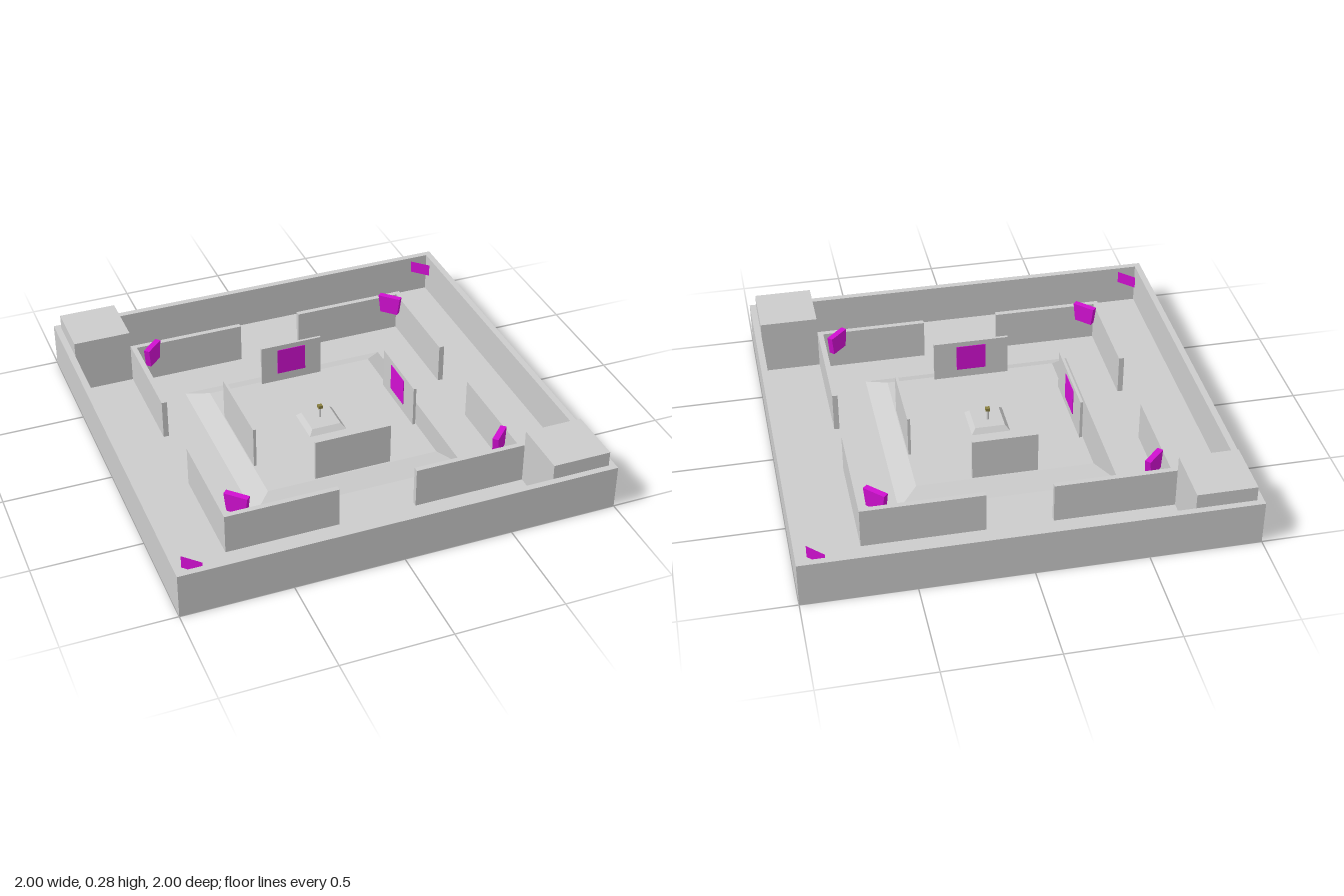
import * as THREE from 'three';

const grey = new THREE.MeshStandardMaterial({ color: 0xcccccc, side: THREE.DoubleSide, flatShading: true });
const magenta = new THREE.MeshStandardMaterial({ color: 0xd010d0, side: THREE.DoubleSide, flatShading: true });
const olive = new THREE.MeshStandardMaterial({ color: 0x8a8040 });

const FLOOR = 0.015, DECK = 0.057, WALL = 0.205, PANEL = 0.255;

// rectangle outline in plan, as [x, z] corners
const rect = (x0, x1, z0, z1) => [[x0, z0], [x1, z0], [x1, z1], [x0, z1]];
const vecs = (pts) => pts.map(([x, z]) => new THREE.Vector2(x, z));

export function createModel() {
  const model = new THREE.Group();

  function add(name, geometry, material = grey, parent = model) {
    const mesh = new THREE.Mesh(geometry, material);
    mesh.name = name;
    parent.add(mesh);
    return mesh;
  }

  function box(name, x0, x1, y0, y1, z0, z1, material) {
    const mesh = add(name, new THREE.BoxGeometry(x1 - x0, y1 - y0, z1 - z0), material);
    mesh.position.set((x0 + x1) / 2, (y0 + y1) / 2, (z0 + z1) / 2);
    return mesh;
  }

  // horizontal sheet with openings
  function sheet(name, outline, y, holes = [], parent = model) {
    const shape = new THREE.Shape(vecs(outline));
    shape.holes = holes.map((h) => new THREE.Path(vecs(h)));
    const geometry = new THREE.ShapeGeometry(shape).rotateX(Math.PI / 2).translate(0, y, 0);
    return add(name, geometry, grey, parent);
  }

  // hollow raised form, open underneath: sides from base to top, then a lid
  function raised(name, base, top, y0, y1, holes = []) {
    const group = new THREE.Group();
    group.name = name;
    model.add(group);
    const pos = [];
    base.forEach(([ax, az], i) => {
      const j = (i + 1) % base.length;
      const [bx, bz] = base[j], [cx, cz] = top[j], [dx, dz] = top[i];
      pos.push(ax, y0, az, cx, y1, cz, bx, y0, bz, ax, y0, az, dx, y1, dz, cx, y1, cz);
    });
    const sides = new THREE.BufferGeometry();
    sides.setAttribute('position', new THREE.Float32BufferAttribute(pos, 3));
    sides.computeVertexNormals();
    add(name + 'Sides', sides, grey, group);
    sheet(name + 'Top', top, y1, holes, group);
  }

  // perimeter wall
  const ring = new THREE.Shape(vecs(rect(-1, 1, -1, 1)));
  ring.holes.push(new THREE.Path(vecs(rect(-0.97, 0.97, -0.97, 0.97))));
  add('perimeterWall', new THREE.ExtrudeGeometry(ring, { depth: 0.21, bevelEnabled: false })
    .rotateX(-Math.PI / 2));

  // L-shaped inner walls: signs of the corner, then where each arm ends
  const corners = [
    [-1, -1, 0.15, 0.19], [1, -1, 0.15, 0.155],
    [1, 1, 0.18, 0.155], [-1, 1, 0.18, 0.185],
  ];
  const wallPlans = corners.map(([sx, sz, ex, ez]) => [
    [0.7, 0.7], [ex, 0.7], [ex, 0.675], [0.675, 0.675], [0.675, ez], [0.7, ez],
  ].map(([x, z]) => [x * sx, z * sz]));
  wallPlans.forEach((plan) => raised('innerWall', plan, plan, FLOOR, WALL));

  // floor sheet with openings under the walls and the platform
  const rampBase = rect(-0.5, 0.5, -0.49, 0.51);
  sheet('floor', rect(-0.97, 0.97, -0.97, 0.97), FLOOR, [...wallPlans, rampBase]);

  // central platform with sloped sides
  const panels = [
    rect(-0.18, 0.18, 0.4, 0.413), rect(-0.15, 0.15, -0.387, -0.374),
    rect(-0.403, -0.39, -0.19, 0.225), rect(0.388, 0.401, -0.16, 0.19),
  ];
  const plinthBase = rect(-0.09, 0.09, -0.075, 0.11);
  raised('platform', rampBase, rect(-0.407, 0.405, -0.392, 0.42), FLOOR, DECK, [...panels, plinthBase]);
  panels.forEach((plan) => raised('shieldPanel', plan, plan, DECK, PANEL));

  // small plinth with a post
  raised('plinth', plinthBase, rect(-0.07, 0.07, -0.055, 0.087), DECK, 0.08);
  const post = add('post', new THREE.CylinderGeometry(0.006, 0.006, 0.05, 8));
  post.position.set(0, 0.105, 0.005);
  const head = add('postHead', new THREE.BoxGeometry(0.02, 0.015, 0.02), olive);
  head.position.set(0, 0.137, 0.005);

  // coloured squares on the inner faces of the panels
  box('panelScreen', -0.07, 0.07, 0.1, 0.23, 0.397, 0.4, magenta);
  box('panelScreen', -0.07, 0.07, 0.1, 0.23, -0.374, -0.371, magenta);
  box('panelScreen', -0.39, -0.387, 0.1, 0.23, -0.065, 0.08, magenta);
  box('panelScreen', 0.385, 0.388, 0.1, 0.23, -0.065, 0.08, magenta);

  // corner plates, slightly narrower at the bottom
  corners.forEach(([sx, sz]) => {
    const geometry = new THREE.BoxGeometry(0.112, 0.09, 0.028);
    const p = geometry.attributes.position;
    for (let i = 0; i < p.count; i++) if (p.getY(i) < 0) p.setX(i, p.getX(i) * 0.8);
    const plate = add('cornerPlate', geometry, magenta);
    plate.position.set(sx * 0.615, 0.195, sz * 0.617);
    plate.rotation.y = sx * sz * Math.PI / 4;
  });

  // solid blocks in two outer corners, thin plates in the other two
  for (const s of [-1, 1]) {
    const block = add('cornerBlock', new THREE.BoxGeometry(0.27, 0.28 - FLOOR, 0.27));
    block.position.set(s * 0.835, (0.28 + FLOOR) / 2, s * 0.835);
    const plate = add('outerPlate', new THREE.PlaneGeometry(0.1, 0.06), magenta);
    plate.position.set(s * 0.91, 0.175, -s * 0.91);
    plate.rotation.y = -Math.PI / 4;
  }

  return model;
}
